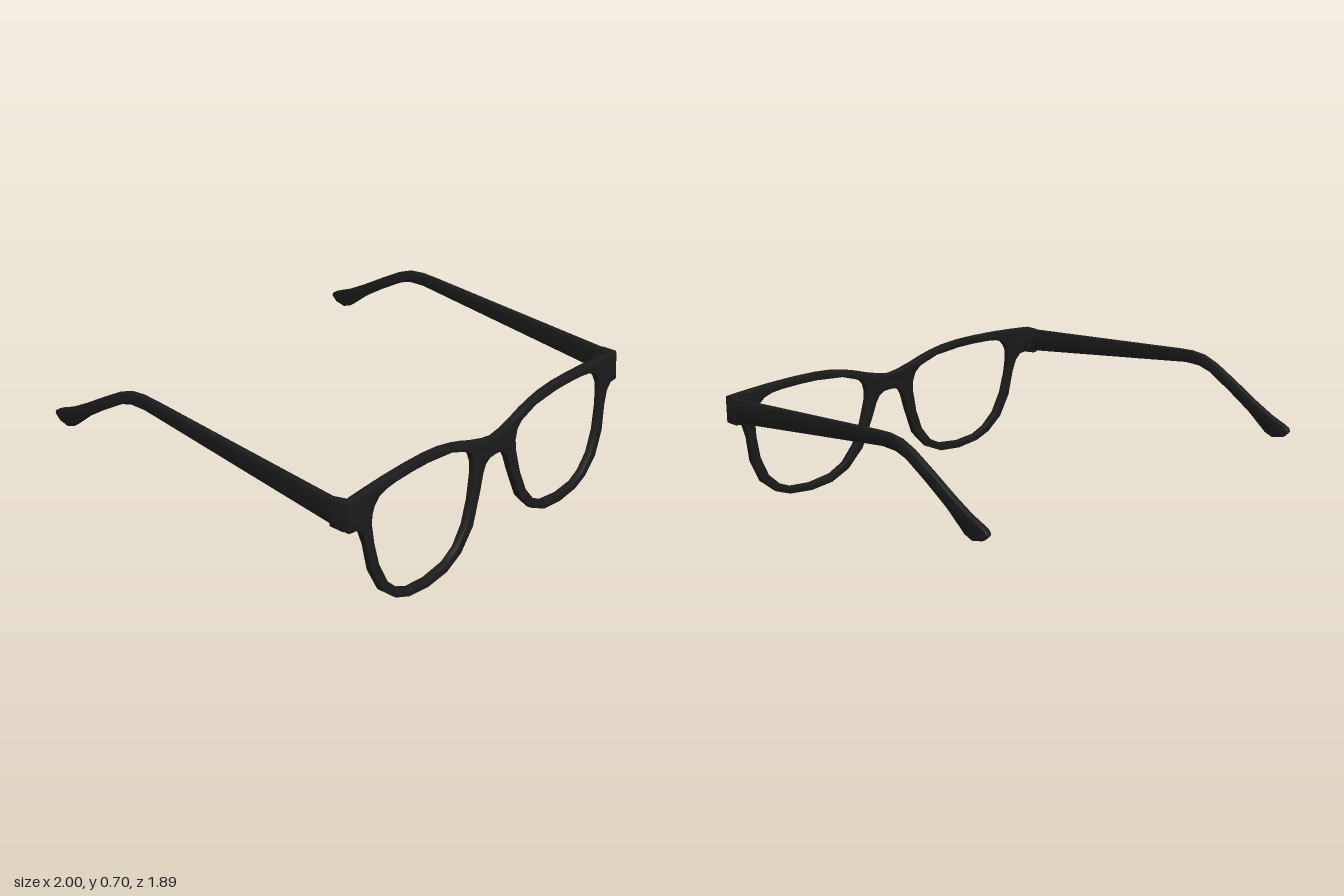
import * as THREE from 'three';
import { toCreasedNormals } from 'three/addons/utils/BufferGeometryUtils.js';

const toVectors = (pairs) => pairs.map(([x, y]) => new THREE.Vector2(x, y));

// Extrude an outline with a small inset bevel, centred on its depth
function slab(shape, depth, bevel) {
  const geo = new THREE.ExtrudeGeometry(shape, {
    depth: depth - 2 * bevel, steps: 1, curveSegments: 1, bevelEnabled: true,
    bevelThickness: bevel, bevelSize: bevel, bevelOffset: -bevel, bevelSegments: 2,
  });
  return geo.translate(0, 0, bevel - depth / 2);
}

// Half of the front outline: bridge top, over the brow, around the rim, back to the bridge
const halfOutline = [
  [0, 0.53], [0.06, 0.539], [0.15, 0.563], [0.21, 0.583], [0.28, 0.602], [0.37, 0.619],
  [0.47, 0.627], [0.6, 0.628], [0.74, 0.624], [0.87, 0.616], [0.98, 0.607],
  [0.98, 0.472], [0.93, 0.467], [0.9, 0.437], [0.878, 0.37], [0.857, 0.243],
  [0.8, 0.126], [0.715, 0.054], [0.63, 0.02], [0.5, 0.006], [0.37, 0.019],
  [0.265, 0.068], [0.175, 0.162], [0.115, 0.315], [0.09, 0.39], [0.07, 0.425],
  [0.04, 0.443], [0, 0.446],
];

// Lens opening
const opening = [
  [0.84, 0.45], [0.836, 0.495], [0.818, 0.532], [0.785, 0.562], [0.74, 0.577],
  [0.68, 0.584], [0.57, 0.588], [0.47, 0.587], [0.31, 0.572], [0.2, 0.535],
  [0.168, 0.505], [0.153, 0.46], [0.155, 0.408], [0.182, 0.29], [0.225, 0.184],
  [0.29, 0.103], [0.37, 0.061], [0.5, 0.044], [0.62, 0.055], [0.69, 0.087],
  [0.76, 0.153], [0.81, 0.26], [0.833, 0.37],
];

// Temple arm side profile as [z, y]
const armProfile = [
  [0.84, 0.607], [0.81, 0.605], [0.25, 0.649], [-0.24, 0.688], [-0.32, 0.692],
  [-0.4, 0.684], [-0.48, 0.654], [-0.6, 0.588], [-0.725, 0.516], [-0.826, 0.463],
  [-0.905, 0.432], [-0.93, 0.419], [-0.937, 0.402], [-0.907, 0.373], [-0.85, 0.36],
  [-0.806, 0.376], [-0.7, 0.46], [-0.574, 0.539], [-0.448, 0.61], [-0.383, 0.629],
  [-0.297, 0.631], [0.81, 0.49], [0.84, 0.487],
];

// End piece seen from above as [x, z], wedge towards the hinge
const endPlan = [[0.945, 0.872], [0.993, 0.876], [0.993, 0.802], [0.967, 0.8], [0.95, 0.845]];

export function createModel() {
  const black = new THREE.MeshStandardMaterial({ color: 0x1b1b1b });
  black.name = 'black acetate';
  const model = new THREE.Group();
  model.name = 'eyeglasses';

  const add = (geo, name) => {
    const mesh = new THREE.Mesh(toCreasedNormals(geo, 0.7), black);
    mesh.name = name;
    model.add(mesh);
  };

  // Front frame with two openings, leaning back towards the brow
  const mirrored = halfOutline.slice(1, -1).reverse().map(([x, y]) => [-x, y]);
  const front = new THREE.Shape(toVectors([...halfOutline, ...mirrored].reverse()));
  for (const side of [-1, 1]) {
    front.holes.push(new THREE.Path(toVectors(opening.map(([x, y]) => [side * x, y]))));
  }
  const frontGeo = slab(front, 0.036, 0.006);
  const pos = frontGeo.attributes.position;
  for (let i = 0; i < pos.count; i++) {
    pos.setZ(i, pos.getZ(i) + 0.921 - 0.083 * pos.getY(i));
  }
  add(frontGeo, 'frontFrame');

  for (const [side, label] of [[1, 'left'], [-1, 'right']]) {
    // Temple arm with its curved ear tip
    const arm = slab(new THREE.Shape(toVectors(armProfile)), 0.03, 0.004);
    arm.rotateY(-Math.PI / 2).translate(side * 0.978, 0, 0);
    add(arm, label + 'Temple');

    // End piece joining the frame to the arm
    const plan = new THREE.Shape(toVectors(endPlan.map(([x, z]) => [side * x, z])));
    const end = slab(plan, 0.132, 0.004);
    end.rotateX(Math.PI / 2).translate(0, 0.543, 0);
    add(end, label + 'EndPiece');
  }

  // The glasses rest with a very slight roll and turn
  model.rotation.set(0, 0.007, -0.008);
  model.position.x = -0.006;
  return model;
}
